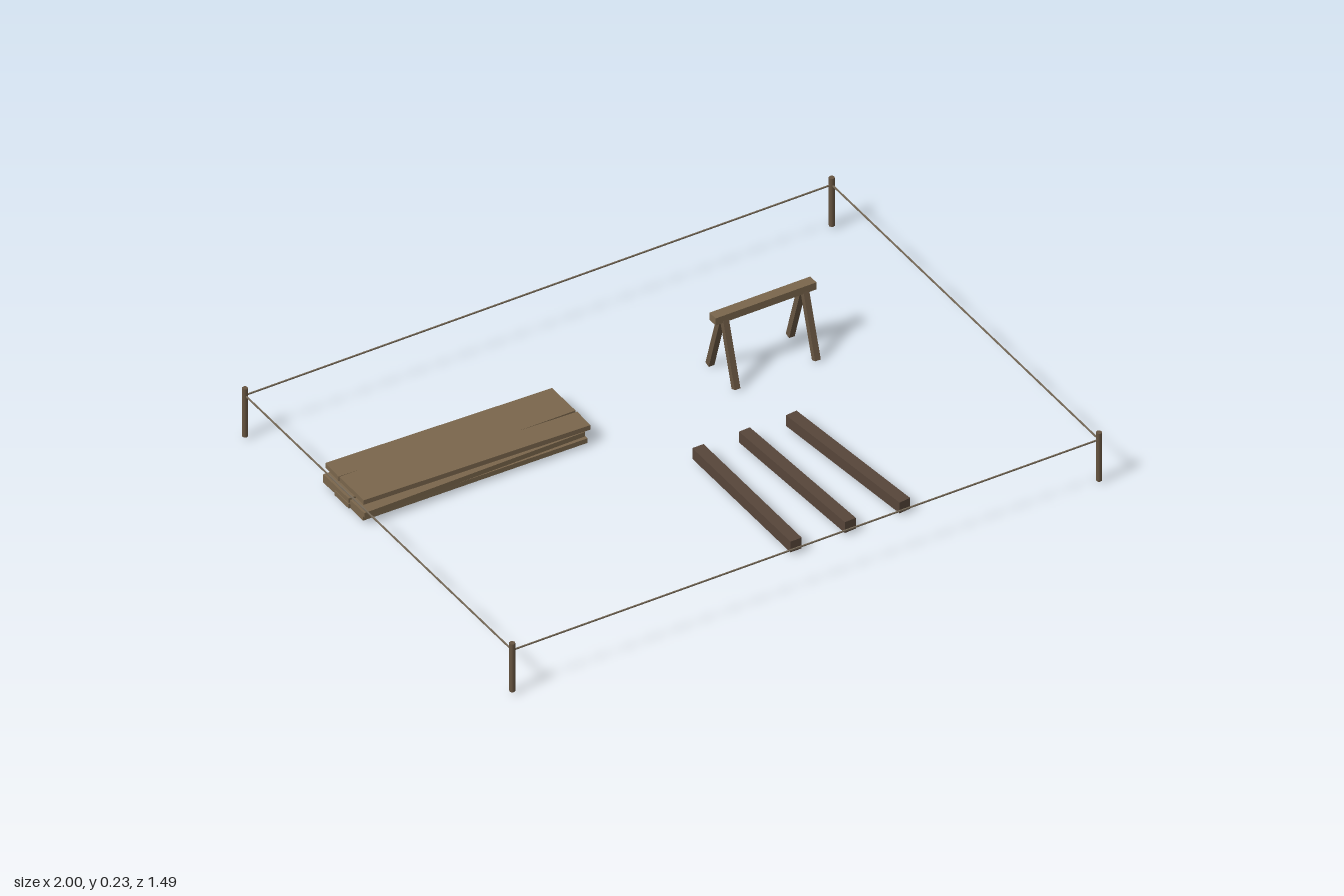
import * as THREE from 'three';

const material = (name, color) => {
  const m = new THREE.MeshStandardMaterial({ color });
  m.name = name;
  return m;
};

export function createModel() {
  const plankWood = material('plank wood', 0x7a664c);
  const darkTimber = material('dark timber', 0x57463a);
  const stakeWood = material('stake wood', 0x675541);
  const twine = material('twine', 0x776a58);

  const model = new THREE.Group();
  model.name = 'buildingPlot';

  const group = (name) => {
    const g = new THREE.Group();
    g.name = name;
    model.add(g);
    return g;
  };
  const box = (parent, name, mat, size, pos, rot = [0, 0, 0]) => {
    const mesh = new THREE.Mesh(new THREE.BoxGeometry(...size), mat);
    mesh.name = name;
    mesh.position.set(...pos);
    mesh.rotation.set(...rot);
    parent.add(mesh);
  };

  // Corner stakes and the string stretched between them
  const boundary = group('boundary');
  const X = 0.99, Z = 0.735, stringY = 0.153;
  const stakeGeometry = new THREE.CylinderGeometry(0.009, 0.009, 0.17, 8);
  for (const sx of [-1, 1]) {
    for (const sz of [-1, 1]) {
      const stake = new THREE.Mesh(stakeGeometry, stakeWood);
      stake.name = 'cornerStake';
      stake.position.set(sx * X, 0.094, sz * Z);
      boundary.add(stake);
    }
    box(boundary, 'sideString', twine, [0.004, 0.004, 2 * Z], [sx * X, stringY, 0]);
    box(boundary, 'longString', twine, [2 * X, 0.004, 0.004], [0, stringY, sx * Z]);
  }

  // Three loose layers of planks: [x, z, turn] for each plank
  const stack = group('plankStack');
  const layers = [
    [[-0.545, -0.388, 0.02], [-0.55, -0.309, 0], [-0.545, -0.231, -0.015]],
    [[-0.55, -0.376, 0.012], [-0.55, -0.305, -0.01], [-0.55, -0.228, 0.012]],
    [[-0.532, -0.379, -0.036], [-0.532, -0.313, 0], [-0.532, -0.242, -0.034]],
  ];
  layers.forEach((layer, i) => {
    for (const [x, z, turn] of layer) {
      box(stack, 'plank', plankWood, [0.75, 0.016, 0.077], [x, 0.02 + i * 0.02, z], [0, turn, 0]);
    }
  });

  // Heavy beams fanned out on the ground
  const beams = group('beams');
  for (const [x, turn] of [[0.066, 0], [0.236, 0.05], [0.407, 0.1]]) {
    box(beams, 'beam', darkTimber, [0.038, 0.038, 0.54], [x, 0.029, 0.305], [0, turn, 0]);
  }

  // Sawhorse with splayed legs
  const sawhorse = group('sawhorse');
  box(sawhorse, 'sawhorseTop', plankWood, [0.34, 0.025, 0.034], [0.475, 0.218, -0.274]);
  for (const x of [0.34, 0.611]) {
    for (const s of [-1, 1]) {
      box(sawhorse, 'sawhorseLeg', stakeWood, [0.019, 0.222, 0.019],
        [x, 0.109, -0.274 + s * 0.039], [-s * 0.3, 0, 0]);
    }
  }

  return model;
}
